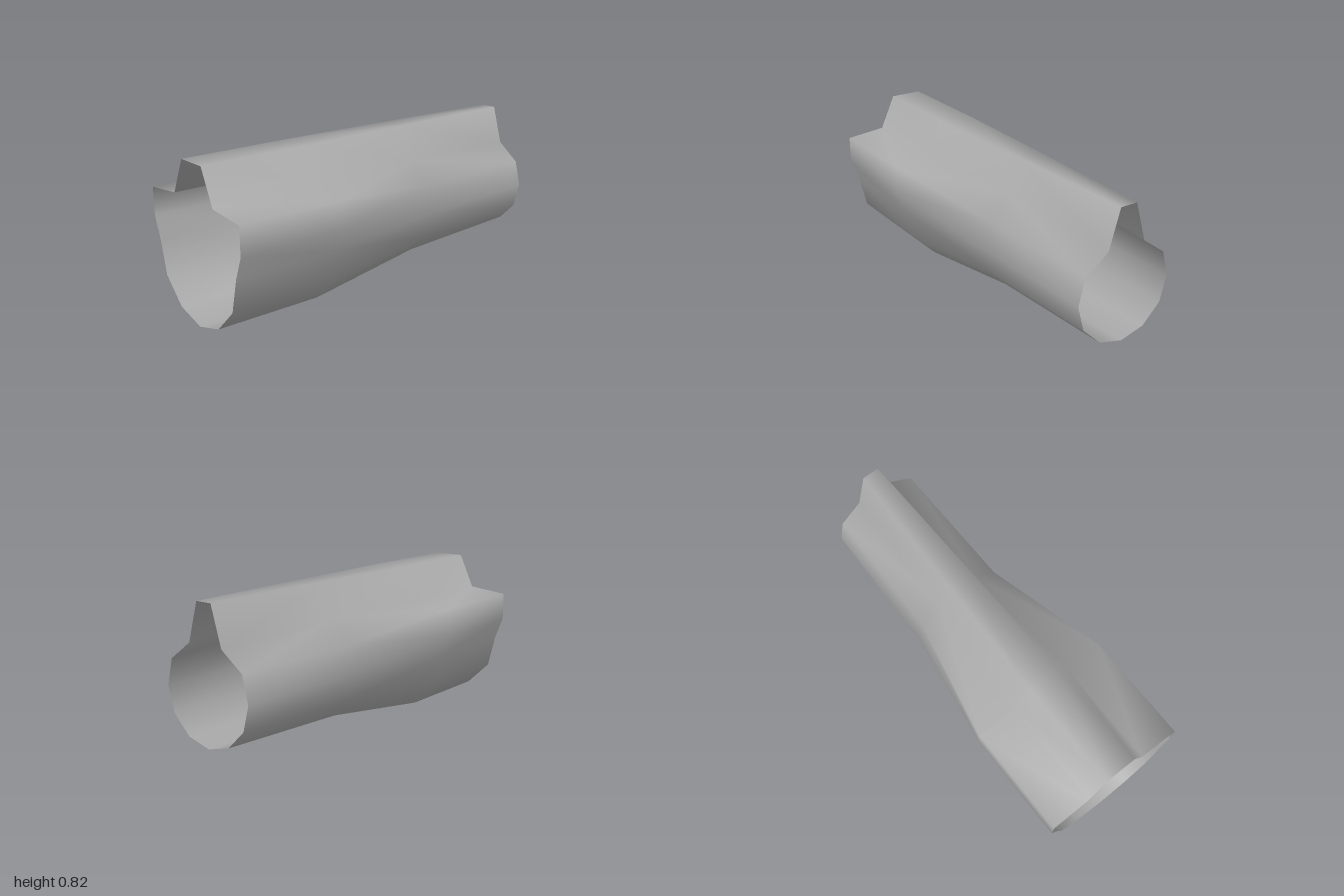
import * as THREE from 'three';
import { mergeVertices } from 'three/addons/utils/BufferGeometryUtils.js';

// Half outlines from bottom centre up the left side to the top ridge
const wide = [[0, 0], [0.17, 0.047], [0.3, 0.175], [0.342, 0.35], [0.387, 0.468], [0.387, 0.617], [0.171, 0.638], [0.086, 0.82]];
const waist = [[0, 0.097], [0.141, 0.135], [0.244, 0.239], [0.28, 0.378], [0.243, 0.522], [0.12, 0.638], [0.12, 0.638], [0.067, 0.82]];
const narrow = [[0, 0.127], [0.132, 0.162], [0.23, 0.259], [0.265, 0.39], [0.231, 0.525], [0.105, 0.618], [0.105, 0.618], [0.046, 0.818]];
const stations = [[1, wide], [0.42, wide], [-0.26, waist], [-1, narrow]];

// Mirrors a half outline into a closed ring
function ring(half) {
  const mirrored = half.slice(1).reverse().map(([x, y]) => [-x, y]);
  return [...half, ...mirrored];
}

function loftGeometry() {
  const positions = [];
  const index = [];
  const n = wide.length * 2 - 1;
  for (const [z, half] of stations) {
    for (const [x, y] of ring(half)) positions.push(x, y, z);
  }
  const point = (i) => new THREE.Vector3().fromArray(positions, i * 3);
  // Skips the triangles that vanish where the shoulder fades out
  const addTriangle = (a, b, c) => {
    if (new THREE.Triangle(point(a), point(b), point(c)).getArea() > 1e-6) index.push(a, b, c);
  };
  for (let s = 0; s < stations.length - 1; s++) {
    for (let j = 0; j < n; j++) {
      const a = s * n + j;
      const b = s * n + (j + 1) % n;
      const c = b + n;
      const d = a + n;
      if (j < wide.length) {
        addTriangle(a, d, b);
        addTriangle(b, d, c);
      } else {
        addTriangle(a, d, c);
        addTriangle(a, c, b);
      }
    }
  }
  const geometry = new THREE.BufferGeometry();
  geometry.setAttribute('position', new THREE.Float32BufferAttribute(positions, 3));
  geometry.setIndex(index);
  const merged = mergeVertices(geometry);
  merged.computeVertexNormals();
  return merged;
}

export function createModel() {
  const model = new THREE.Group();
  model.name = 'openSleeve';
  const grey = new THREE.MeshStandardMaterial({ color: 0xaaaaaa, side: THREE.DoubleSide });
  grey.name = 'grey';

  // Thin open-ended sleeve with a raised ridge and tapering shoulders
  const sleeve = new THREE.Mesh(loftGeometry(), grey);
  sleeve.name = 'sleeveShell';
  model.add(sleeve);
  return model;
}
